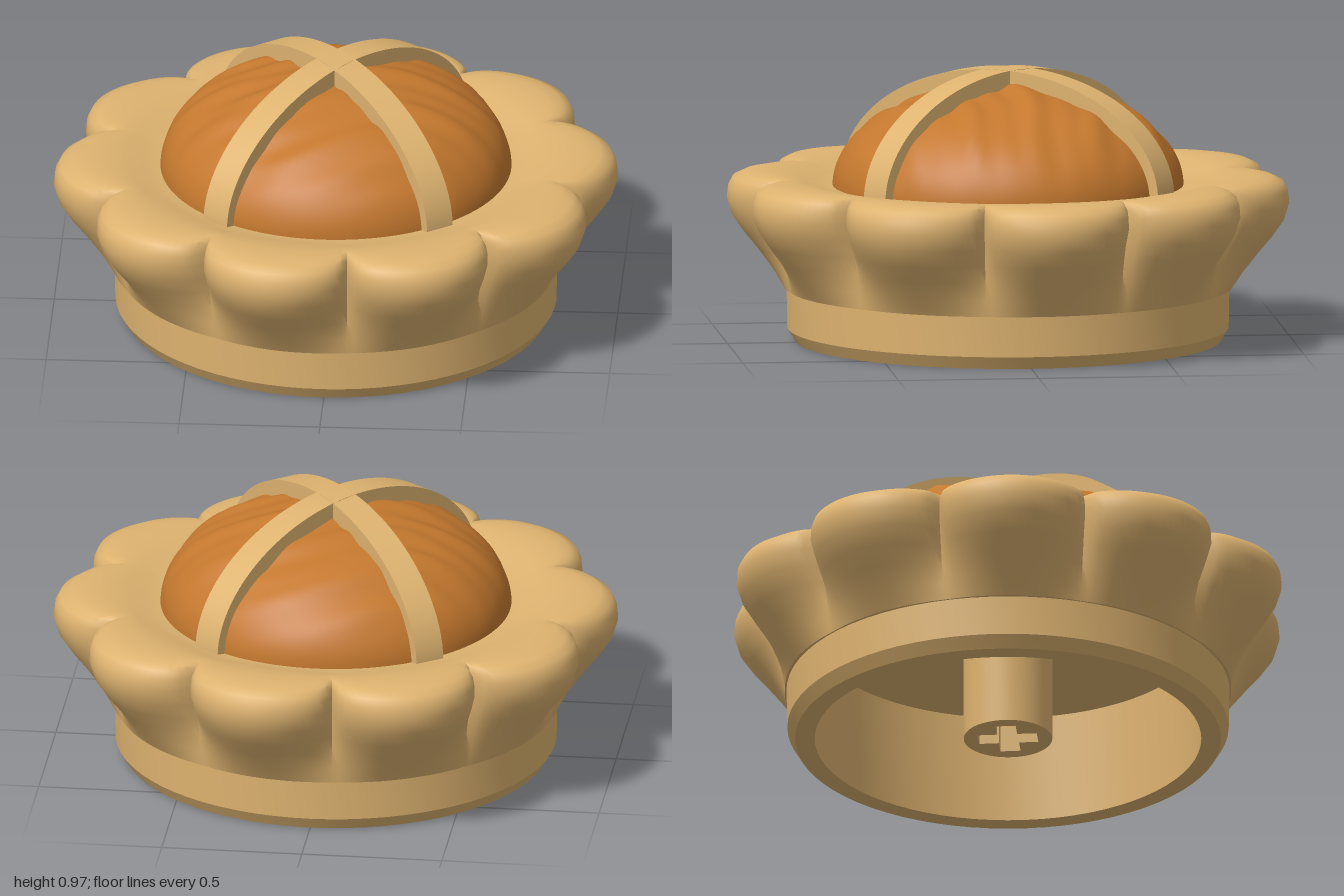
import * as THREE from 'three';
import { toCreasedNormals } from 'three/addons/utils/BufferGeometryUtils.js';

const crustMat = new THREE.MeshStandardMaterial({ color: 0xdeb370 });
crustMat.name = 'golden crust';
const fillMat = new THREE.MeshStandardMaterial({ color: 0xc4782e });
fillMat.name = 'baked filling';

const v2 = (p) => p.map(([x, y]) => new THREE.Vector2(x, y));

function add(group, name, geometry, material) {
  const mesh = new THREE.Mesh(geometry, material);
  mesh.name = name;
  group.add(mesh);
  return mesh;
}

// Hollow dish: ceiling, inner wall, foot ring, chamfer and outer wall
function dishGeometry() {
  const profile = v2([[0, 0.4], [0.685, 0.4], [0.685, 0], [0.755, 0],
    [0.782, 0.045], [0.785, 0.2]]);
  return toCreasedNormals(new THREE.LatheGeometry(profile, 72), 0.4);
}

// Fluted rim: blends a valley profile and a lobe profile around ten lobes.
// Rows: valley radius, valley y, lobe radius, lobe y, sharpness of the crease
function rimGeometry() {
  const rows = [
    [0.78, 0.19, 0.78, 0.19, 1], [0.79, 0.19, 0.795, 0.19, 1],
    [0.8, 0.25, 0.835, 0.25, 1.2], [0.805, 0.32, 0.89, 0.32, 1],
    [0.815, 0.38, 0.94, 0.38, 0.8], [0.825, 0.44, 0.982, 0.44, 0.65],
    [0.835, 0.5, 1.0, 0.5, 0.55], [0.835, 0.54, 0.995, 0.545, 0.55],
    [0.83, 0.565, 0.978, 0.576, 0.55], [0.82, 0.582, 0.94, 0.593, 0.55],
    [0.8, 0.592, 0.89, 0.6, 0.6], [0.77, 0.592, 0.82, 0.6, 0.8],
    [0.73, 0.582, 0.74, 0.588, 1], [0.68, 0.565, 0.68, 0.568, 1],
    [0.62, 0.555, 0.62, 0.555, 1], [0.55, 0.55, 0.55, 0.55, 1],
  ];
  const segments = 240;
  const geo = new THREE.LatheGeometry(v2(rows.map((r) => [r[0], r[1]])), segments);
  const pos = geo.attributes.position;
  for (let i = 0; i < pos.count; i++) {
    const [vr, vy, lr, ly, sharp] = rows[i % rows.length];
    const a = (Math.floor(i / rows.length) % segments) / segments * Math.PI * 2;
    const wave = Math.abs(Math.sin(5 * (a - THREE.MathUtils.degToRad(24))));
    const t = Math.pow(wave, sharp);
    const r = vr + (lr - vr) * t;
    // a runs anticlockwise seen from above
    pos.setXYZ(i, r * Math.cos(a), vy + (ly - vy) * t, -r * Math.sin(a));
  }
  return toCreasedNormals(geo, 0.75);
}

// Domed filling with shallow wrinkles running across it
function fillingGeometry() {
  const profile = [];
  for (let j = 0; j <= 36; j++) {
    const a = (j / 36) * Math.PI / 2;
    profile.push([Math.max(0, 0.622 * Math.cos(a)), 0.55 + 0.365 * Math.sin(a)]);
  }
  const geo = new THREE.LatheGeometry(v2(profile), 120);
  const pos = geo.attributes.position;
  for (let i = 0; i < pos.count; i++) {
    const x = pos.getX(i), y = pos.getY(i), z = pos.getZ(i);
    const fade = Math.min(1, (y - 0.55) / 0.2);
    const s = z + 0.22 * x;
    const n = 0.5 * Math.sin(30 * s + 2.2 * Math.sin(5 * x + 1))
      + 0.35 * Math.sin(53 * s + 2 * Math.sin(8 * x - 2 * z))
      + 0.4 * Math.sin(9 * x + 13 * z + 1.3);
    pos.setY(i, y + 0.011 * fade * n);
  }
  return toCreasedNormals(geo, 1.2);
}

// Arched pastry strip
function stripGeometry() {
  const shape = new THREE.Shape();
  shape.moveTo(0.655, 0.5);
  shape.lineTo(0.655, 0.55);
  shape.absellipse(0, 0.55, 0.655, 0.42, 0, Math.PI, false, 0);
  shape.lineTo(-0.655, 0.5);
  shape.lineTo(-0.56, 0.5);
  shape.absellipse(0, 0.55, 0.56, 0.32, Math.PI, 0, true, 0);
  shape.lineTo(0.56, 0.5);
  shape.closePath();
  const geo = new THREE.ExtrudeGeometry(shape,
    { depth: 0.11, bevelEnabled: false, curveSegments: 40 });
  geo.translate(0, 0, -0.055);
  return toCreasedNormals(geo, 0.5);
}

// Round post with a cross-shaped socket
function postGeometry() {
  const shape = new THREE.Shape();
  shape.absarc(0, 0, 0.157, 0, Math.PI * 2, false);
  const l = 0.105, w = 0.036;
  shape.holes.push(new THREE.Path(v2([[l, -w], [w, -w], [w, -l], [-w, -l],
    [-w, -w], [-l, -w], [-l, w], [-w, w], [-w, l], [w, l], [w, w], [l, w]])));
  const geo = new THREE.ExtrudeGeometry(shape,
    { depth: 0.405, bevelEnabled: false, curveSegments: 24 });
  geo.rotateX(-Math.PI / 2);
  return toCreasedNormals(geo, 0.5);
}

export function createModel() {
  const pie = new THREE.Group();
  pie.name = 'pie';
  add(pie, 'dish', dishGeometry(), crustMat);
  add(pie, 'flutedRim', rimGeometry(), crustMat);
  add(pie, 'filling', fillingGeometry(), fillMat);
  add(pie, 'socketPost', postGeometry(), crustMat);
  for (const side of [-1, 1]) {
    const strip = add(pie, side < 0 ? 'rightStrip' : 'leftStrip', stripGeometry(), crustMat);
    strip.rotation.y = side * THREE.MathUtils.degToRad(52.5);
  }
  return pie;
}
